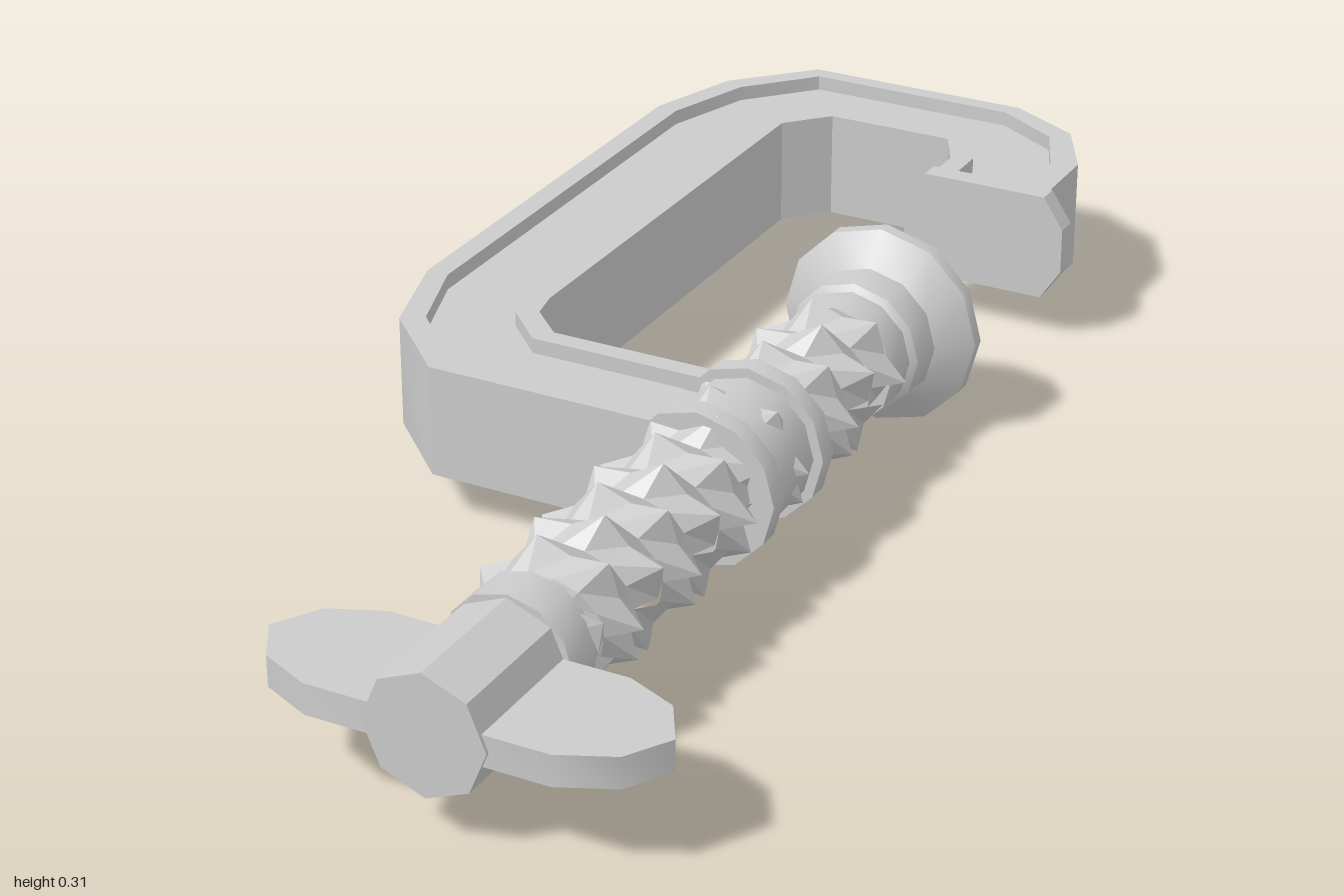
import * as THREE from 'three';
import { toCreasedNormals } from 'three/addons/utils/BufferGeometryUtils.js';

const CX = 0.153, CY = 0.16; // screw axis, running along z
const smooth = new THREE.MeshStandardMaterial({ color: 0xcccccc });
const faceted = new THREE.MeshStandardMaterial({ color: 0xcccccc, flatShading: true });

// Plan outline of [x, z] points, given a height centred on the screw axis
function slab(name, points, height) {
  const shape = new THREE.Shape(points.map(p => new THREE.Vector2(...p)));
  const geo = new THREE.ExtrudeGeometry(shape, { depth: height, bevelEnabled: false });
  geo.translate(0, 0, -height / 2).rotateX(Math.PI / 2).translate(0, CY, 0);
  const mesh = new THREE.Mesh(toCreasedNormals(geo, 0.7), smooth);
  mesh.name = name;
  return mesh;
}

// Turned part on the screw axis from [radius, z] points
function turned(name, profile, sides = 12) {
  const geo = new THREE.LatheGeometry(profile.map(p => new THREE.Vector2(...p)), sides);
  geo.rotateX(Math.PI / 2).translate(CX, CY, 0);
  const mesh = new THREE.Mesh(toCreasedNormals(geo, 0.7), smooth);
  mesh.name = name;
  return mesh;
}

// Jagged helical thread: alternating crest and root rows, with crests toothed
function threadGeometry(z0, z1) {
  const sides = 14, pitch = 0.08, rows = Math.ceil((z1 - z0) / pitch) * 2 + 4;
  const pos = [], index = [];
  for (let j = 0; j <= rows; j++) {
    for (let i = 0; i <= sides; i++) {
      const a = (i / sides) * Math.PI * 2;
      const raw = z0 + (j / 2 + i / sides - 1) * pitch;
      const z = THREE.MathUtils.clamp(raw, z0, z1);
      const tooth = (i + Math.floor(j / 2)) % 2 ? 0.117 : 0.094;
      const r = raw !== z || j % 2 ? 0.08 : tooth;
      pos.push(CX + r * Math.cos(a), CY + r * Math.sin(a), z);
      if (i < sides && j < rows) {
        const k = j * (sides + 1) + i, up = k + sides + 1;
        index.push(k, k + 1, up + 1, k, up + 1, up);
      }
    }
  }
  const geo = new THREE.BufferGeometry();
  geo.setAttribute('position', new THREE.Float32BufferAttribute(pos, 3));
  geo.setIndex(index);
  geo.computeVertexNormals();
  return geo;
}

export function createModel() {
  const model = new THREE.Group();
  model.name = 'clamp';

  // C-shaped frame: a recessed web between two raised rims
  const outer = [[0.257, -0.7], [0.257, -0.825], [0.198, -0.937], [0.08, -1], [-0.288, -1], [-0.4, -0.884],
    [-0.45, -0.73], [-0.45, 0], [-0.4, 0.16], [-0.278, 0.277], [CX, 0.277]];
  const outerLip = [[0.216, -0.7], [0.216, -0.81], [0.172, -0.91], [0.067, -0.972], [-0.273, -0.972], [-0.368, -0.868],
    [-0.415, -0.725], [-0.415, 0], [-0.368, 0.138], [-0.267, 0.24], [CX, 0.24]];
  const inner = [[0.066, -0.7], [0.066, -0.755], [0.03, -0.825], [-0.177, -0.825], [-0.237, -0.76],
    [-0.24, 0], [-0.23, 0.047], [-0.177, 0.097], [CX, 0.097]];
  const innerLip = [[0.099, -0.7], [0.099, -0.77], [0.042, -0.852], [-0.193, -0.852], [-0.272, -0.767],
    [-0.275, 0], [-0.262, 0.062], [-0.195, 0.128], [CX, 0.128]];
  const band = (a, b) => [...a, ...[...b].reverse()];
  const frame = new THREE.Group();
  frame.name = 'frame';
  frame.add(
    slab('outerRim', band(outer, outerLip), 0.172),
    slab('innerRim', band(inner, innerLip), 0.172),
    slab('web', band(outerLip, innerLip), 0.125)
  );

  // Fixed jaw: disc with flattened top and bottom
  const jawShape = new THREE.Shape([[0.135, -0.036], [0.135, 0.036], [0.102, 0.086], [-0.102, 0.086],
    [-0.135, 0.036], [-0.135, -0.036], [-0.102, -0.086], [0.102, -0.086]].map(p => new THREE.Vector2(...p)));
  const jaw = new THREE.Mesh(new THREE.ExtrudeGeometry(jawShape, { depth: 0.034, bevelEnabled: false }), faceted);
  jaw.name = 'fixedJaw';
  jaw.position.set(0.159, CY + 0.001, -0.711);

  // Flanged collar where the screw passes through the frame
  const collar = turned('collar', [[0, 0.097], [0.119, 0.097], [0.119, 0.13], [0.104, 0.13],
    [0.104, 0.25], [0.119, 0.25], [0.119, 0.283], [0, 0.283]]);
  frame.add(jaw, collar);

  // Screw with swivel pad and end collar
  const screw = new THREE.Group();
  screw.name = 'screw';
  const thread = new THREE.Mesh(threadGeometry(-0.15, 0.74), faceted);
  thread.name = 'thread';
  screw.add(
    thread,
    turned('pressurePad', [[0, -0.328], [0.157, -0.328], [0.157, -0.307], [0.108, -0.27], [0.105, -0.217],
      [0.095, -0.21], [0.095, -0.148], [0, -0.148]]),
    turned('screwCollar', [[0, 0.73], [0.095, 0.73], [0.095, 0.795], [0, 0.795]])
  );

  // Wing handle: octagonal hub with a flat wing on each side
  const handle = new THREE.Group();
  handle.name = 'wingHandle';
  handle.add(turned('hub', [[0, 0.79], [0.09, 0.79], [0.09, 1], [0, 1]], 8));
  const wing = [[0, 0.795], [0.177, 0.795], [0.254, 0.828], [0.293, 0.895],
    [0.254, 0.96], [0.177, 0.995], [0, 0.995]];
  for (const side of [1, -1])
    handle.add(slab(side > 0 ? 'leftWing' : 'rightWing', wing.map(([x, z]) => [CX + side * x, z]), 0.046));

  model.add(frame, screw, handle);
  return model;
}
